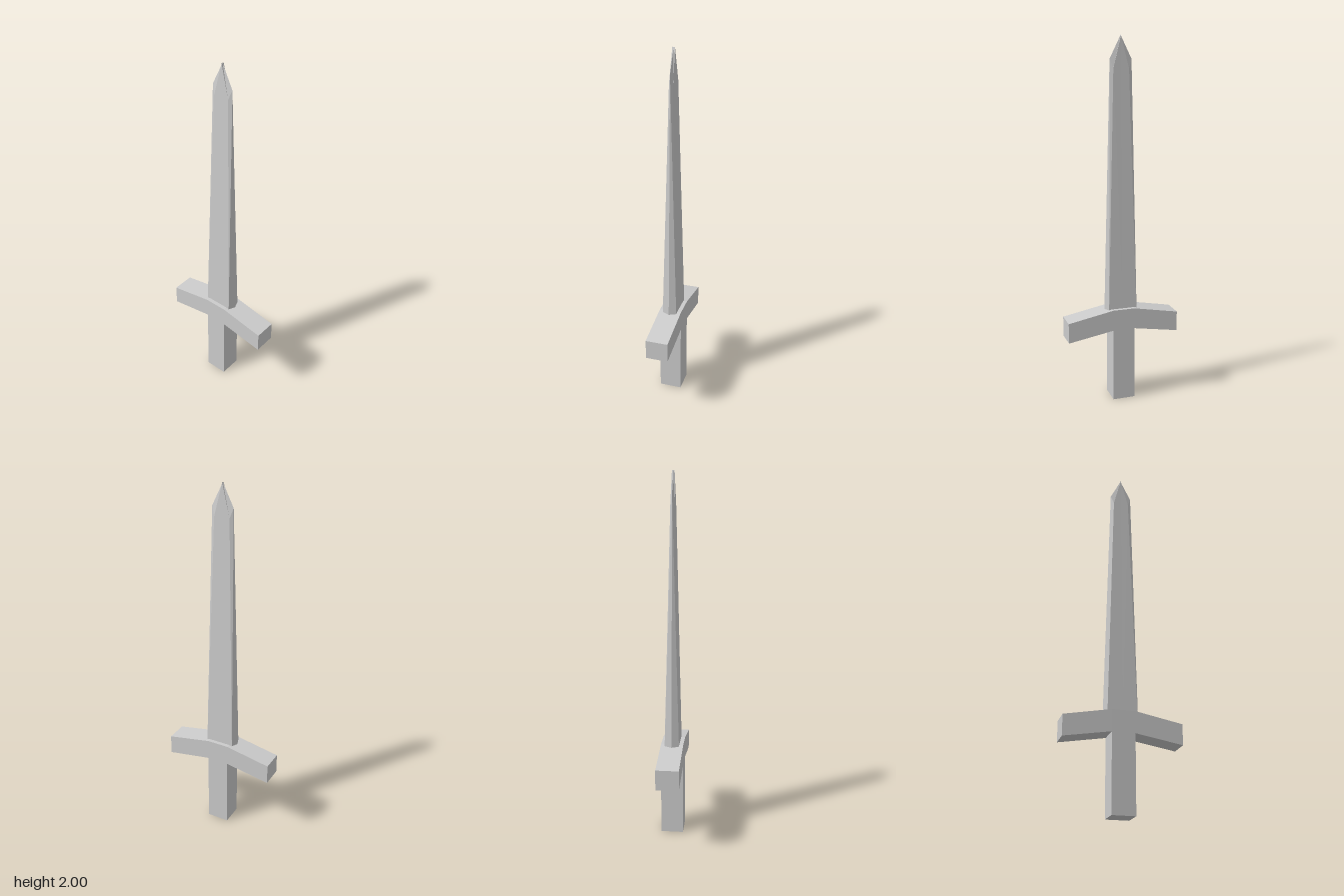
import * as THREE from 'three';

const material = new THREE.MeshStandardMaterial({ color: 0xcccccc, flatShading: true });

// Grip and drooping crossguard share one outline, extruded front to back
function createHilt() {
  const half = [[0.062, 0], [0.062, 0.413], [0.316, 0.37], [0.316, 0.482], [0.062, 0.53]];
  const mirrored = half.map(([x, y]) => [-x, y]).reverse();
  const outline = [...half, ...mirrored].map(([x, y]) => new THREE.Vector2(x, y));
  const depth = 0.124;
  const geometry = new THREE.ExtrudeGeometry(new THREE.Shape(outline), { depth, bevelEnabled: false });
  geometry.translate(0, 0, -depth / 2);
  const mesh = new THREE.Mesh(geometry, material);
  mesh.name = 'gripAndCrossguard';
  return mesh;
}

// One quarter of the bevelled blade, mirrored across x and z
function createBlade() {
  const base = 0.515;
  const baseMiddle = [0, base, 0.04];
  const baseBevel = [0.08, base, 0.04];
  const baseEdge = [0.095, base, 0];
  const topBevel = [0.043, 1.83, 0.011];
  const topEdge = [0.06, 1.88, 0];
  const tip = [0, 2, 0.007];
  const tipMiddle = [0, 2, 0];
  const quads = [
    [baseMiddle, baseBevel, topBevel, tip],       // flat
    [baseBevel, baseEdge, topEdge, topBevel],     // cutting bevel
    [topBevel, topEdge, tipMiddle, tip],          // point
    [[0, base, 0], baseEdge, baseBevel, baseMiddle], // underside
  ];
  const positions = [];
  for (const sx of [1, -1]) {
    for (const sz of [1, -1]) {
      for (const quad of quads) {
        const [a, b, c, d] = quad.map(([x, y, z]) => [x * sx, y, z * sz]);
        const triangles = [[a, b, c], [a, c, d]];
        for (const t of triangles) positions.push(...(sx * sz > 0 ? t : t.reverse()).flat());
      }
    }
  }
  const geometry = new THREE.BufferGeometry();
  geometry.setAttribute('position', new THREE.Float32BufferAttribute(positions, 3));
  geometry.computeVertexNormals();
  const mesh = new THREE.Mesh(geometry, material);
  mesh.name = 'blade';
  return mesh;
}

export function createModel() {
  const group = new THREE.Group();
  group.name = 'sword';
  group.add(createHilt(), createBlade());
  return group;
}
